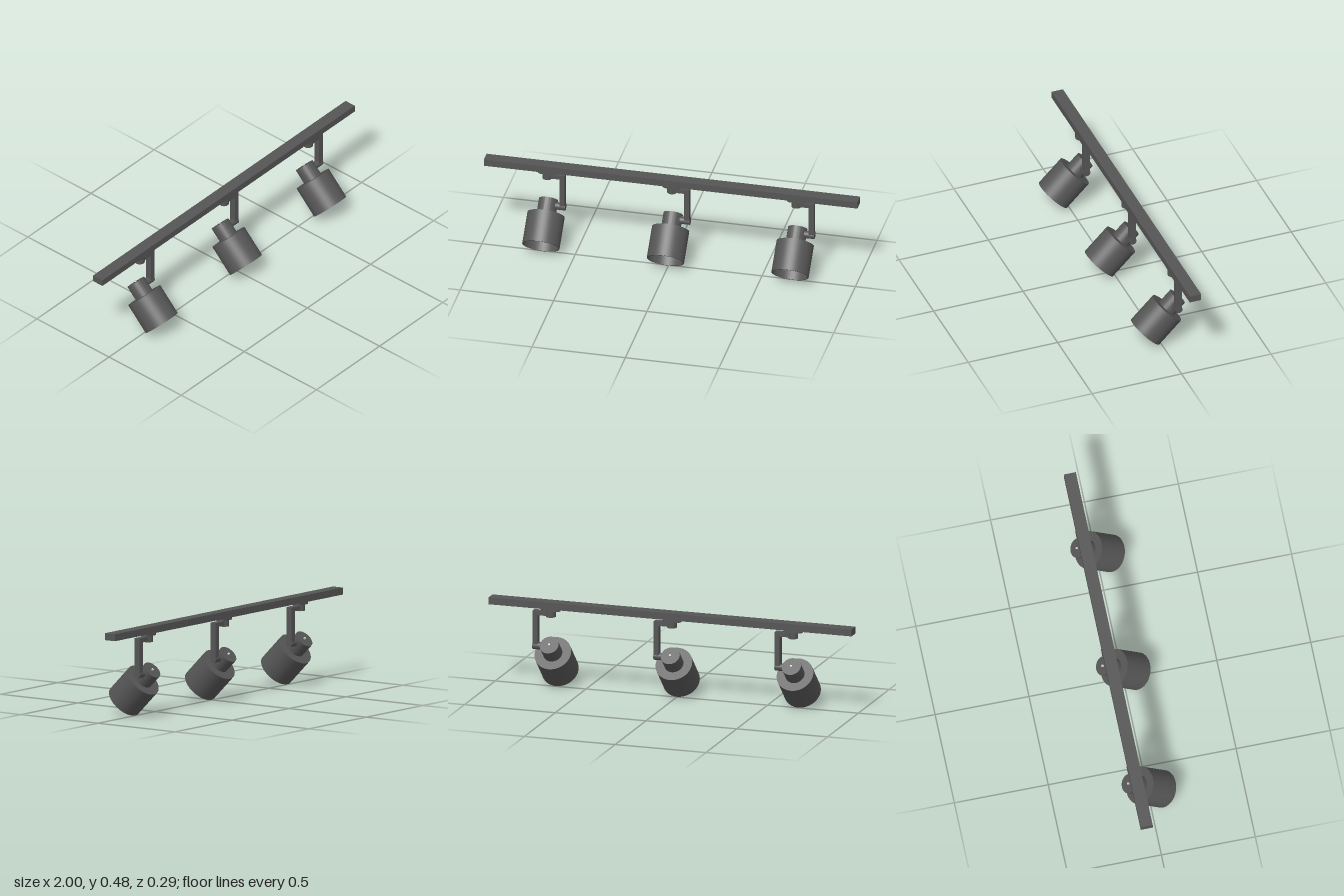
import * as THREE from 'three';
import { toCreasedNormals } from 'three/addons/utils/BufferGeometryUtils.js';

const RAIL_Z = -0.078;
const metal = new THREE.MeshStandardMaterial({ color: 0x555555 });
const steel = new THREE.MeshStandardMaterial({ color: 0xcccccc });
const glass = new THREE.MeshStandardMaterial({ color: 0xe0e0b8 });

function add(parent, name, geometry, material, x = 0, y = 0, z = 0) {
  const mesh = new THREE.Mesh(geometry, material);
  mesh.name = name;
  mesh.position.set(x, y, z);
  parent.add(mesh);
  return mesh;
}

// Turned part from [radius, height] pairs, with crisp edges
function turned(pairs) {
  const points = pairs.map(([r, h]) => new THREE.Vector2(r, h));
  return toCreasedNormals(new THREE.LatheGeometry(points, 48), 0.6);
}

// Flat plate with round ends, lying in the xz plane
function roundEndedPlate(halfLength, radius, thickness) {
  const c = halfLength - radius;
  const shape = new THREE.Shape();
  shape.absarc(c, 0, radius, -Math.PI / 2, Math.PI / 2);
  shape.absarc(-c, 0, radius, Math.PI / 2, Math.PI * 1.5);
  return new THREE.ExtrudeGeometry(shape, { depth: thickness, bevelEnabled: false, curveSegments: 20 })
    .rotateX(-Math.PI / 2);
}

function createSpotlight() {
  const spot = new THREE.Group();
  spot.name = 'spotlight';

  // Rail adapter: plate against the rail and the swivel stem below it
  add(spot, 'adapterPlate', roundEndedPlate(0.052, 0.0265, 0.014), metal, 0, 0.43, RAIL_Z);
  add(spot, 'swivelStem', new THREE.CylinderGeometry(0.026, 0.026, 0.034, 32), metal, 0, 0.414, RAIL_Z);

  // L-shaped arm running out and then down beside the lamp
  const arm = new THREE.Shape([
    [0, 0.403], [0.068, 0.403], [0.068, 0.232], [0.096, 0.232], [0.096, 0.426], [0, 0.426],
  ].map(([x, y]) => new THREE.Vector2(x, y)));
  add(spot, 'arm', new THREE.ExtrudeGeometry(arm, { depth: 0.034, bevelEnabled: false }),
    metal, 0, 0, RAIL_Z - 0.017);

  // Tilt joint between the arm and the lamp neck
  const pivot = new THREE.CylinderGeometry(0.0195, 0.0195, 0.058, 32).rotateZ(Math.PI / 2);
  add(spot, 'tiltPivot', pivot, metal, 0.0685, 0.234, RAIL_Z);

  // Lamp head, built opening-down around its axis, then tilted forward
  const head = new THREE.Group();
  head.name = 'lampHead';
  head.position.set(0, 0.07, 0.0745);
  head.rotation.x = -Math.PI / 4;
  spot.add(head);

  add(head, 'housing', turned([
    [0, 0.078], [0.0935, 0.078], [0.0935, 0], [0.0985, 0],
    [0.0985, 0.172], [0.051, 0.172], [0.051, 0.255], [0, 0.255],
  ]), metal);
  add(head, 'lens', turned([
    [0, 0.061], [0.03, 0.0617], [0.06, 0.0638], [0.0935, 0.068],
  ]), glass);
  add(head, 'backScrew', new THREE.CylinderGeometry(0.006, 0.006, 0.01, 16), steel, 0, 0.258, 0);

  return spot;
}

export function createModel() {
  const model = new THREE.Group();
  model.name = 'trackLight';

  add(model, 'rail', new THREE.BoxGeometry(2, 0.037, 0.064), metal, 0, 0.4615, RAIL_Z);

  for (const x of [-0.667, 0, 0.667]) {
    const spot = createSpotlight();
    spot.position.x = x;
    model.add(spot);
  }
  return model;
}
